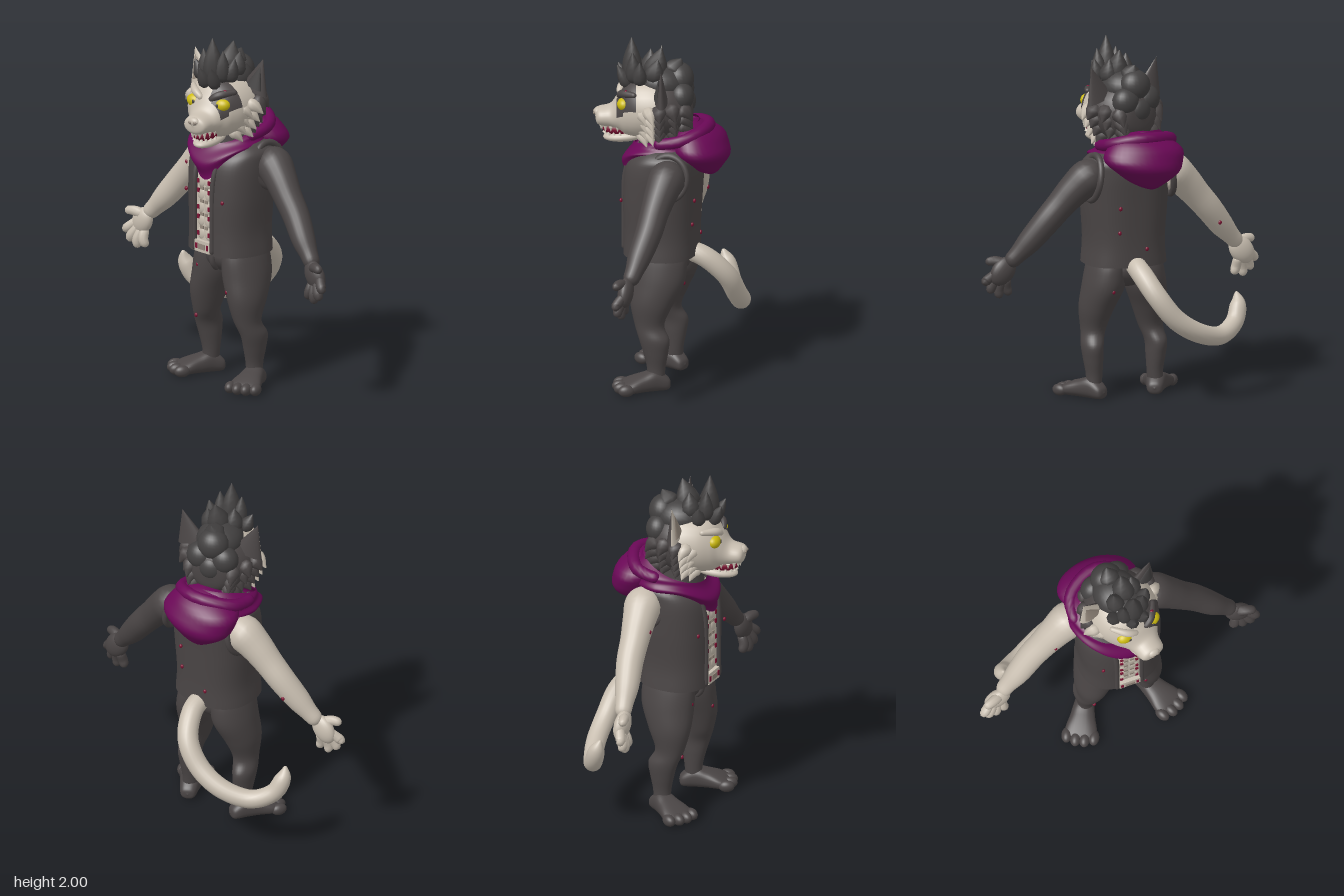
import * as THREE from 'three';

const material = (name, color) => Object.assign(new THREE.MeshStandardMaterial({ color, side: THREE.DoubleSide }), { name });
const dark = material('charcoal fur and cloth', 0x4a4545);
const hairMat = material('dark hair', 0x424040);
const cream = material('cream fur', 0xc8beb0);
const purple = material('purple cloth', 0x6a0856);
const yellow = material('yellow eye', 0xcdbb10);
const red = material('dark red', 0x7c1232);
const taupe = material('taupe skin', 0x94887c);
const ivory = material('ivory teeth', 0xdcd5c6);

const add = (parent, name, geometry, mat) => {
  const m = new THREE.Mesh(geometry, mat);
  m.name = name;
  parent.add(m);
  return m;
};

// Surface from a rule: rows follow u, columns follow v
function grid(nu, nv, closed, fn) {
  const pos = [], idx = [], cols = closed ? nv : nv + 1;
  for (let i = 0; i <= nu; i++) for (let j = 0; j < cols; j++) pos.push(...fn(i / nu, j / nv));
  for (let i = 0; i < nu; i++) for (let j = 0; j < nv; j++) {
    const k = (j + 1) % cols, a = i * cols + j, b = i * cols + k;
    idx.push(a, b, b + cols, a, b + cols, a + cols);
  }
  const g = new THREE.BufferGeometry();
  g.setAttribute('position', new THREE.Float32BufferAttribute(pos, 3));
  g.setIndex(idx);
  g.computeVertexNormals();
  return g;
}

const spline = pts => new THREE.CatmullRomCurve3(pts, false, 'catmullrom', 0.5);
const V = (x, y, z) => new THREE.Vector3(x, y, z);

// Smooth loft along z through sections [z, cx, cy, rx, ry]
function loft(sections, { a0 = 0, a1 = Math.PI * 2, u0 = 0, u1 = 1, grow = 0, e = 2, n = 32 } = {}) {
  const mid = spline(sections.map(s => V(s[1], s[2], s[0])));
  const rad = spline(sections.map(s => V(s[3], s[4], 0)));
  const pow = c => Math.sign(c) * Math.abs(c) ** (2 / e);
  return grid(sections.length * 5, n, a1 - a0 > 6.28, (u, v) => {
    const t = u0 + (u1 - u0) * u, c = mid.getPoint(t), r = rad.getPoint(t), a = a0 + (a1 - a0) * v;
    return [c.x + (Math.max(r.x, 0.001) + grow) * pow(Math.cos(a)), c.y + (Math.max(r.y, 0.001) + grow) * pow(Math.sin(a)), c.z];
  });
}
// The same along y through sections [y, cx, cz, rx, rz]
const loftY = (sections, o) => loft(sections.map(([y, x, z, a, b]) => [y, x, -z, a, b]), o).rotateX(-Math.PI / 2);

// Round-ended limb through points [x, y, z, radius]
function limb(pts, n = 14, rows = 24) {
  const path = spline(pts.map(p => V(p[0], p[1], p[2]))), rad = spline(pts.map(p => V(p[3], 0, 0)));
  const len = path.getLength(), dir = path.getPoint(1).sub(path.getPoint(0)).normalize();
  const ref = Math.abs(dir.z) < 0.75 ? V(0, 0, 1) : V(1, 0, 0);
  return grid(rows, n, true, (w, v) => {
    const u = 0.5 - 0.5 * Math.cos(Math.PI * w), t = path.getUtoTmapping(u);
    const r = Math.max(rad.getPoint(t).x, 0.001), d = Math.min(1, u * len / r, (1 - u) * len / r);
    const R = r * Math.sqrt(Math.max(0, 1 - (1 - d) ** 2)) + 0.0002;
    const T = path.getTangent(t), N = V(0, 0, 0).crossVectors(ref, T).normalize(), B = V(0, 0, 0).crossVectors(T, N);
    return path.getPoint(t).addScaledVector(N, R * Math.cos(v * 2 * Math.PI)).addScaledVector(B, R * Math.sin(v * 2 * Math.PI)).toArray();
  });
}
const spike = (a, b, r, lift = 0.015) => limb([[...a, r], [(a[0] + b[0]) / 2, (a[1] + b[1]) / 2 + lift, (a[2] + b[2]) / 2, r * 0.85], [...b, 0.002]], 8, 10);
const ball = (x, y, z, rx, ry, rz, rotX = 0, rotZ = 0) =>
  new THREE.SphereGeometry(1, 24, 16).scale(rx, ry, rz).rotateX(rotX).rotateZ(rotZ).translate(x, y, z);

function buildHead() {
  const head = new THREE.Group();
  head.name = 'head';
  const skull = [[-0.2, 0, 0, 0, 0], [-0.18, 0, 0, 0.1, 0.1], [-0.1, 0, 0, 0.17, 0.16], [0, 0, 0, 0.2, 0.18], [0.1, 0, 0, 0.185, 0.172],
    [0.17, 0, -0.01, 0.148, 0.152], [0.215, 0, -0.03, 0.11, 0.108], [0.26, 0, -0.055, 0.083, 0.066], [0.33, 0, -0.058, 0.066, 0.047], [0.347, 0, -0.055, 0, 0]];
  add(head, 'headBack', loft(skull, { u1: 0.34 }), dark);
  add(head, 'face', loft(skull, { u0: 0.34 }), cream);
  add(head, 'eyePatch', loft(skull, { u0: 0.47, u1: 0.67, a0: 0.15, a1: 1.35, grow: 0.004 }), dark);
  add(head, 'eyePatchInner', loft(skull, { u0: 0.6, u1: 0.7, a0: 0.0, a1: 1.15, grow: 0.0045 }), dark);
  add(head, 'redMark', ball(0.1, 0.112, 0.175, 0.014, 0.012, 0.01), red);
  // Nose, mouth, jaw and teeth
  add(head, 'nose', ball(0, -0.035, 0.33, 0.036, 0.026, 0.024), cream);
  for (const s of [-1, 1]) add(head, 'nostril', ball(s * 0.016, -0.037, 0.351, 0.011, 0.009, 0.006), taupe);
  add(head, 'mouth', ball(0, -0.125, 0.21, 0.064, 0.043, 0.1), red);
  add(head, 'jaw', ball(0, -0.17, 0.175, 0.072, 0.034, 0.128, 0.1), cream);
  for (let i = 0; i < 9; i++) {
    const a = Math.PI * (0.06 + 0.88 * i / 8), fang = i === 2 || i === 6 ? 1.5 : 1;
    const x = Math.cos(a), z = Math.sin(a);
    add(head, 'upperTooth', new THREE.ConeGeometry(0.011, 0.03 * fang, 6).rotateX(Math.PI).translate(x * 0.064, -0.112 - 0.01 * fang, 0.2 + z * 0.115), ivory);
    add(head, 'lowerTooth', new THREE.ConeGeometry(0.01, 0.028 * fang, 6).translate(x * 0.06, -0.148 + 0.006 * fang, 0.19 + z * 0.105), ivory);
  }
  for (const s of [-1, 1]) {
    const fur = s > 0 ? dark : cream;
    // Eyes and brows
    add(head, 'eye', ball(s * 0.087, 0.038, 0.186, 0.051, 0.038, 0.038, 0, s * 0.15), yellow);
    add(head, 'pupil', ball(s * 0.078, 0.04, 0.222, 0.008, 0.012, 0.005), hairMat);
    add(head, 'brow', limb([[s * 0.022, 0.064, 0.215, 0.016], [s * 0.08, 0.096, 0.194, 0.022], [s * 0.145, 0.108, 0.12, 0.014]]), fur);
    // Ears: coloured front half, dark back half
    const earHalf = start => new THREE.ConeGeometry(0.085, 0.2, 16, 1, true, start, Math.PI).scale(1, 1, 0.42).rotateZ(-s * 0.3).translate(s * 0.195, 0.18, -0.02);
    add(head, 'earFront', earHalf(-Math.PI / 2), fur);
    add(head, 'earBack', earHalf(Math.PI / 2), dark);
    add(head, 'earInner', new THREE.ConeGeometry(0.052, 0.135, 16).scale(1, 1, 0.36).rotateX(-0.06).rotateZ(-s * 0.3).translate(s * 0.196, 0.172, -0.002), s > 0 ? hairMat : taupe);
    // Cheek tufts in front, dark tufts behind
    for (let i = 0; i < 4; i++) {
      const y = 0.03 - i * 0.048, w = 0.165 - i * 0.022;
      add(head, 'cheekTuft', spike([s * w, y, 0.06], [s * (w + 0.09), y - 0.055, 0.025], 0.04), cream);
      add(head, 'cheekTuft', spike([s * (w - 0.025), y - 0.02, 0.1], [s * (w + 0.045), y - 0.08, 0.06], 0.036), cream);
      add(head, 'backTuft', spike([s * w, y + 0.005, 0.0], [s * (w + 0.082), y - 0.05, -0.012], 0.05), dark);
      add(head, 'backTuft', spike([s * (w - 0.02), y + 0.01, -0.06], [s * (w + 0.045), y - 0.055, -0.1], 0.05), dark);
      add(head, 'backTuft', spike([s * (0.12 - i * 0.012), y, -0.11], [s * (0.13 - i * 0.01), y - 0.075, -0.195], 0.048), dark);
    }
  }
  // Hair clumps and swept-up spikes
  const clumps = [[0, 0.14, -0.02, 0.13, 0.1, 0.14], [0, 0.16, -0.12, 0.09, 0.09, 0.08], [0.07, 0.08, -0.13, 0.08, 0.08, 0.07],
    [-0.07, 0.08, -0.13, 0.08, 0.08, 0.07], [0, 0.03, -0.16, 0.07, 0.07, 0.05], [0, 0.17, 0.08, 0.1, 0.05, 0.08]];
  clumps.forEach(c => add(head, 'hairClump', ball(...c), hairMat));
  const spikes = [[0, 0.15, 0.14, -0.002, 0.4, 0.145, 0.058], [0.05, 0.15, 0.13, 0.065, 0.335, 0.14, 0.046], [-0.05, 0.15, 0.13, -0.065, 0.33, 0.14, 0.046],
    [0.085, 0.15, 0.1, 0.115, 0.29, 0.1, 0.042], [-0.09, 0.14, 0.1, -0.14, 0.25, 0.11, 0.042], [0.02, 0.16, 0.03, 0.03, 0.35, -0.02, 0.07],
    [-0.05, 0.16, 0.05, -0.06, 0.31, 0.04, 0.056], [0.07, 0.16, 0.03, 0.085, 0.3, 0, 0.056], [0, 0.18, -0.07, 0.01, 0.28, -0.13, 0.066],
    [0.03, 0.12, 0.16, 0.035, 0.25, 0.225, 0.038], [-0.03, 0.12, 0.16, -0.04, 0.24, 0.22, 0.038]];
  spikes.forEach(p => add(head, 'hairSpike', spike(p.slice(0, 3), p.slice(3, 6), p[6], 0), hairMat));
  head.position.set(0, 1.6, 0.06);
  head.rotation.y = 0.27;
  return head;
}

function buildTorso() {
  const torso = new THREE.Group();
  torso.name = 'torso';
  const vest = [[0.76, 0, 0.035, 0.232, 0.205], [0.9, 0, 0.035, 0.222, 0.205], [1.1, 0, 0.03, 0.235, 0.21], [1.28, 0, 0.015, 0.24, 0.205],
    [1.36, 0, -0.01, 0.22, 0.165], [1.42, 0, 0, 0.1, 0.1]];
  add(torso, 'vest', loftY(vest, { a0: -Math.PI / 2 + 0.2, a1: Math.PI * 1.5 - 0.2, e: 2.5, n: 48 }), dark);
  add(torso, 'chest', loftY(vest, { grow: -0.016, a0: -Math.PI / 2 - 0.5, a1: -Math.PI / 2 + 0.5, e: 2.5 }), cream);
  add(torso, 'neck', new THREE.CylinderGeometry(0.12, 0.14, 0.2, 24).translate(0, 1.42, 0.03), dark);
  for (const s of [-1, 1]) {
    add(torso, 'vestEdge', limb([[s * 0.072, 0.77, 0.235, 0.013], [s * 0.072, 1, 0.235, 0.013], [s * 0.076, 1.2, 0.227, 0.015], [s * 0.09, 1.34, 0.185, 0.015]]), dark);
    add(torso, 'armhole', new THREE.TorusGeometry(0.112, 0.018, 10, 32).scale(0.95, 1.1, 1).rotateY(Math.PI / 2).rotateZ(s * 0.16).translate(s * 0.215, 1.262, -0.06), dark);
    // Stomach muscles with small red and taupe marks
    for (let i = 0; i < 5; i++) {
      const y = 0.87 + i * 0.075;
      add(torso, 'muscle', ball(s * 0.03, y, 0.216, 0.034, 0.038, 0.015), cream);
      add(torso, 'redMark', new THREE.BoxGeometry(0.016, 0.024, 0.006).translate(s * 0.044, y + (i % 2) * 0.02, 0.231), red);
      add(torso, 'taupeMark', new THREE.BoxGeometry(0.024, 0.018, 0.006).translate(s * 0.018, y + 0.036, 0.228), taupe);
    }
    add(torso, 'buckleMark', new THREE.BoxGeometry(0.014, 0.03, 0.006).translate(s * 0.045, 0.8, 0.246), red);
  }
  add(torso, 'buckle', new THREE.BoxGeometry(0.12, 0.065, 0.03).translate(0, 0.8, 0.23), cream);
  add(torso, 'bucklePlate', new THREE.BoxGeometry(0.055, 0.03, 0.008).translate(0, 0.8, 0.247), taupe);
  // Scarf with a drooping front point
  add(torso, 'scarf', grid(20, 64, true, (u, v) => {
    const a = v * Math.PI * 2 - Math.PI / 2, f = -Math.sin(a), w = 1 - u;
    const top = 1.455 - 0.065 * f - 0.015 * Math.cos(a), low = 1.365 - 0.025 * f - 0.15 * Math.max(0, f) ** 4;
    const bulge = 0.028 * Math.sin(Math.PI * w) + 0.009 * Math.sin(w * 9 + 3 * f);
    return [-0.045 + 0.06 * Math.max(0, f) * w + (0.165 + 0.045 * w + bulge) * Math.cos(a), top + (low - top) * w, 0.02 + (0.18 + 0.045 * w + bulge) * f];
  }), purple);
  // Hood hanging behind, narrowing to a rounded point
  add(torso, 'hood', grid(20, 36, true, (u, v) => {
    const p = Math.PI * (1 - u), a = v * 2 * Math.PI, y = -Math.cos(p), r = Math.sin(p) * (1 - 0.28 * y * y - 0.22 * y);
    const fold = 1 + 0.035 * Math.sin(y * 7 + 2 * Math.cos(a));
    return [-0.045 + 0.225 * r * fold * Math.cos(a) - 0.02 * y, 1.365 - 0.155 * y, -0.18 + 0.15 * r * fold * Math.sin(a) - 0.05 * y];
  }), purple);
  add(torso, 'hoodRim', limb([[0.15, 1.42, 0.04, 0.03], [0.135, 1.455, -0.12, 0.034], [0.04, 1.485, -0.2, 0.036], [-0.08, 1.49, -0.21, 0.036], [-0.215, 1.46, -0.12, 0.036], [-0.24, 1.44, 0.03, 0.03]]), purple);
  return torso;
}

function buildArm(s) {
  const arm = new THREE.Group(), fur = s > 0 ? dark : cream;
  arm.name = s > 0 ? 'leftArm' : 'rightArm';
  // The right forearm reaches a little further forward
  const at = pts => pts.map(([x, y, z, r]) => [s * x, y, z + (s < 0 ? 0.06 * Math.max(0, x - 0.4) : 0), r]);
  add(arm, 'armLength', limb(at([[0.16, 1.29, -0.07, 0.085], [0.24, 1.272, -0.065, 0.104], [0.32, 1.207, -0.05, 0.092], [0.4, 1.12, -0.035, 0.08], [0.48, 1.03, -0.025, 0.075],
    [0.57, 0.92, 0, 0.066], [0.635, 0.848, 0.015, 0.05], [0.69, 0.79, 0.03, 0.044]]), 20, 36), fur);
  add(arm, 'palm', ball(s * 0.71, 0.755, s > 0 ? 0.04 : 0.058, 0.066, 0.088, 0.042, 0, s * 0.65), fur);
  // Four fingers and a thumb
  const tips = [[0.665, 0.615, 0.05], [0.725, 0.6, 0.055], [0.78, 0.63, 0.06], [0.82, 0.69, 0.06]];
  tips.forEach(([x, y, z], i) => add(arm, 'finger', limb(at([[0.69 + i * 0.017, 0.72 + i * 0.012, 0.035, 0.026],
    [x * 0.6 + 0.285 + i * 0.006, y * 0.6 + 0.29, z + 0.008, 0.028], [x, y, z, 0.023]]), 10, 12), fur));
  add(arm, 'thumb', limb(at([[0.69, 0.79, 0.04, 0.03], [0.745, 0.81, 0.065, 0.028], [0.8, 0.805, 0.08, 0.022]]), 10, 12), fur);
  return arm;
}

function buildLeg(s) {
  const leg = new THREE.Group();
  leg.name = s > 0 ? 'leftLeg' : 'rightLeg';
  const sections = [[0.05, 0.185, 0.02, 0.045, 0.05], [0.13, 0.18, 0.018, 0.045, 0.052], [0.22, 0.185, 0.02, 0.054, 0.07], [0.3, 0.188, 0.028, 0.06, 0.086],
    [0.38, 0.17, 0.06, 0.068, 0.084], [0.5, 0.155, 0.05, 0.094, 0.122], [0.62, 0.126, 0.025, 0.112, 0.152], [0.72, 0.112, 0.02, 0.108, 0.155], [0.8, 0.1, 0.02, 0.1, 0.14]];
  add(leg, 'legLength', loftY(sections.map(([y, x, ...r]) => [y, s * x, ...r])), dark);
  const foot = new THREE.Group();
  foot.name = 'foot';
  add(foot, 'sole', loft([[-0.085, 0, 0.04, 0, 0], [-0.07, 0, 0.04, 0.04, 0.035], [0, 0, 0.06, 0.056, 0.06], [0.07, 0, 0.052, 0.07, 0.052], [0.14, 0, 0.04, 0.088, 0.04], [0.19, 0, 0.03, 0.078, 0.025], [0.205, 0, 0.03, 0, 0]], { e: 2.4 }), dark);
  for (let i = 0; i < 4; i++) add(foot, 'toe', ball((i - 1.5) * 0.05, 0.033, 0.202 - Math.abs(i - 1.5) * 0.016, 0.03, 0.033, 0.045), dark);
  foot.position.set(s * 0.187, 0, 0.02);
  foot.rotation.y = s * 0.47;
  leg.add(foot);
  return leg;
}

export function createModel() {
  const model = new THREE.Group();
  model.name = 'wolfCharacter';
  model.add(buildHead(), buildTorso());
  for (const s of [-1, 1]) model.add(buildArm(s), buildLeg(s));
  add(model, 'hips', ball(0, 0.73, 0.02, 0.2, 0.11, 0.15), dark);
  add(model, 'fly', limb([[0, 0.78, 0.165, 0.018], [0, 0.7, 0.165, 0.018], [0, 0.65, 0.13, 0.015]]), dark);
  add(model, 'tail', limb([[0, 0.78, -0.1, 0.055], [-0.01, 0.73, -0.22, 0.058], [-0.06, 0.62, -0.32, 0.058], [-0.16, 0.49, -0.345, 0.057], [-0.3, 0.4, -0.33, 0.055],
    [-0.45, 0.36, -0.27, 0.052], [-0.56, 0.41, -0.205, 0.05], [-0.6, 0.5, -0.165, 0.045], [-0.6, 0.57, -0.14, 0.008]], 20, 60), cream);
  // Small red flecks on fur and cloth
  const flecks = [[-0.36, 1.17, 0.04], [-0.53, 0.95, -0.075], [0.15, 1.08, 0.228], [-0.15, 1.1, 0.228], [0.1, 1.1, -0.178], [-0.06, 0.86, -0.168], [0.1, 0.96, -0.166],
    [0.12, 0.55, 0.17], [-0.12, 0.66, 0.172], [-0.17, 0.35, 0.138], [0.12, 0.62, -0.124]];
  flecks.forEach(([x, y, z]) => add(model, 'redFleck', ball(x, y, z, 0.01, 0.012, 0.008), red));
  return model;
}
